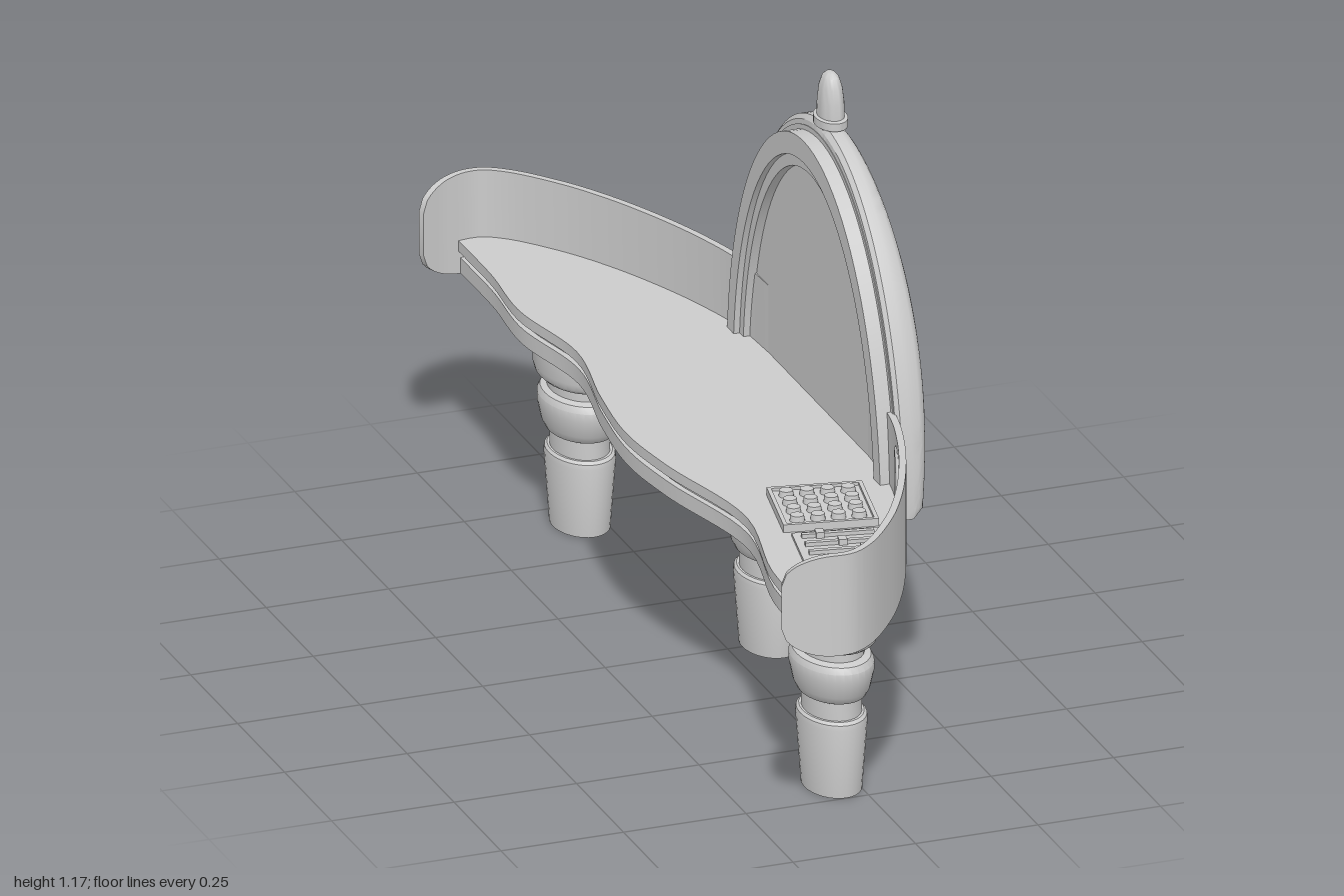
import * as THREE from 'three';
import { toCreasedNormals } from 'three/addons/utils/BufferGeometryUtils.js';

const mat = new THREE.MeshStandardMaterial({ color: 0xcccccc, side: THREE.DoubleSide });

function add(parent, name, geo, x = 0, y = 0, z = 0) {
  const m = new THREE.Mesh(geo, mat);
  m.name = name;
  m.position.set(x, y, z);
  parent.add(m);
  return m;
}

// Surface through rows of [x, y, z] points
function loft(rows, closed = false, crease = 0.6) {
  const pos = [], n = rows[0].length;
  for (let i = 0; i < rows.length - 1; i++) {
    for (let j = 0; j < (closed ? n : n - 1); j++) {
      const k = (j + 1) % n;
      const a = rows[i][j], b = rows[i + 1][j], c = rows[i + 1][k], d = rows[i][k];
      pos.push(...a, ...b, ...c, ...a, ...c, ...d);
    }
  }
  const g = new THREE.BufferGeometry();
  g.setAttribute('position', new THREE.Float32BufferAttribute(pos, 3));
  return toCreasedNormals(g, crease);
}

const spline2 = (pts, n) =>
  new THREE.CatmullRomCurve3(pts.map(([x, z]) => new THREE.Vector3(x, 0, z)), false, 'centripetal').getPoints(n);

// Plan of the curved wall, from the hooked tip to the middle
const wallPts = spline2([[-0.26, 0.965], [-0.2, 0.985], [-0.13, 0.993], [-0.08, 0.965], [0, 0.87],
  [0.06, 0.77], [0.115, 0.65], [0.158, 0.53], [0.188, 0.41], [0.2, 0.25]], 64);

function wallGeometry(side) {
  const rows = wallPts.map((p, i) => {
    const a = wallPts[Math.max(i - 1, 0)], b = wallPts[Math.min(i + 1, wallPts.length - 1)];
    const t = b.clone().sub(a).normalize().multiplyScalar(0.014);
    const e = Math.max(0, 1 - (p.x + 0.26) / 0.1);
    const h = 0.104 - 0.06 * (1 - Math.sqrt(1 - e * e));
    const xi = p.x + t.z, zi = p.z - t.x, lo = 0.515 - h, hi = 0.515 + h;
    return [[p.x, lo, p.z * side], [p.x, hi, p.z * side], [xi, hi, zi * side], [xi, lo, zi * side]];
  });
  // close both ends
  const centre = (r) => r.map(() => [0, 1, 2].map((k) => (r[0][k] + r[2][k]) / 2));
  rows.unshift(centre(rows[0]));
  rows.push(centre(rows[rows.length - 1]));
  if (side > 0) rows.reverse();
  return loft(rows, true);
}

// Desk slab with a wavy front edge
function slabGeometry(inset, depth) {
  const front = spline2([[-0.175, -0.98], [-0.175, -0.8], [-0.187, -0.62], [-0.155, -0.4], [-0.19, -0.18],
    [-0.207, 0], [-0.19, 0.17], [-0.137, 0.45], [-0.185, 0.73], [-0.178, 0.98]], 60);
  const back = wallPts.filter((p, i) => i > 16 && p.x > -0.13).map((p) => [p.x - 0.008, p.z - 0.006]);
  const outline = [
    ...front.map((p) => [p.x + inset, p.z]),
    ...back,
    ...back.map(([x, z]) => [x, -z]).reverse(),
  ];
  const shape = new THREE.Shape(outline.map(([x, z]) => new THREE.Vector2(x, z)));
  const g = new THREE.ExtrudeGeometry(shape, { depth, bevelEnabled: false }).rotateX(Math.PI / 2);
  return toCreasedNormals(g, 0.6);
}

// Half-ellipse outline in the z-y plane
const domePoints = (rz, ry) => Array.from({ length: 49 }, (_, i) => {
  const t = Math.PI * i / 48;
  return new THREE.Vector2(rz * Math.cos(t), ry * Math.sin(t));
});

// Bulge of the dome's outer face
function shellX(z, y) {
  const k = Math.hypot(z / 0.43, y / 0.65);
  const g = Math.min(1, Math.max(0, (1 - k) / 0.1));
  return 0.215 + 0.03 * Math.sqrt(g * (2 - g)) + 0.015 * Math.sin(Math.PI * Math.min(1, y / 0.65));
}

// Distance from the dome's base centre to the arched cut-out edge
function cutRadius(c, s) {
  const line = 0.3225 / (s + 0.75 * Math.abs(c));
  const A = (c / 0.108) ** 2 + (s / 0.14) ** 2, B = -2 * s * 0.26 / 0.14 ** 2, C = (0.26 / 0.14) ** 2 - 1;
  const D = B * B - 4 * A * C;
  return D > 0 ? Math.max(line, (-B + Math.sqrt(D)) / (2 * A)) : line;
}

function buildDome(root) {
  const dome = new THREE.Group();
  dome.name = 'screenDome';
  dome.position.y = 0.41;
  root.add(dome);
  const shell = [], plate = [], N = 96;
  for (let i = 0; i <= N; i++) {
    const t = Math.PI * i / N, c = Math.cos(t), s = Math.sin(t);
    const oz = 0.43 * c, oy = 0.65 * s, r = cutRadius(c, s);
    // matching cut edge point along the same ray angle
    const iz = r * c, iy = r * s;
    const row = [[0.185, oy * 0.95, oz * 0.95], [0.187, oy * 0.985, oz * 0.985], [0.195, oy, oz], [0.215, oy, oz]];
    for (let j = 1; j <= 16; j++) {
      const w = (j / 16) ** 1.6, z = oz + (iz - oz) * w, y = oy + (iy - oy) * w;
      row.push([shellX(z, y), y, z]);
    }
    row.push([shellX(iz, iy) - 0.015, iy, iz]);
    shell.push(row);
    const pz = Math.max(-0.25, Math.min(0.25, iz));
    plate.push([1, 0.75, 0.5, 0.25, 0].map((f) => [shellX(pz * f, iy * f) - 0.008, iy * f, pz * f]));
  }
  add(dome, 'domeShell', loft(shell));
  add(dome, 'archedBackPanel', loft(plate));

  // front frame and recessed screen, facing the desk
  const toSide = (g) => toCreasedNormals(g.rotateY(-Math.PI / 2), 0.6);
  const ring = (name, ro, ri, x, depth) => {
    const shape = new THREE.Shape([...domePoints(...ro), ...domePoints(...ri).reverse()]);
    add(dome, name, toSide(new THREE.ExtrudeGeometry(shape, { depth, bevelEnabled: false, curveSegments: 1 })), x);
  };
  ring('outerFrame', [0.41, 0.62], [0.375, 0.575], 0.2, 0.045);
  ring('innerFrame', [0.38, 0.58], [0.355, 0.55], 0.2, 0.033);
  const screen = new THREE.Shape(domePoints(0.42, 0.63));
  add(dome, 'screen', toSide(new THREE.ExtrudeGeometry(screen, { depth: 0.012, bevelEnabled: false })), 0.197);

  // bullet-shaped finial
  const profile = [[0.03, -0.02], [0.034, 0], [0.046, 0.002], [0.046, 0.018], [0.037, 0.02], [0.036, 0.05],
    [0.031, 0.08], [0.022, 0.1], [0.011, 0.108], [0, 0.109]].map(([r, y]) => new THREE.Vector2(r, y));
  const finial = add(dome, 'finial', toCreasedNormals(new THREE.LatheGeometry(profile, 28), 0.6), 0.21, 0.648, 0);
  finial.scale.x = 0.68;
}

function buildLegs(root) {
  const profile = [[0, 0], [0.079, 0], [0.093, 0.145], [0.091, 0.155], [0.084, 0.16], [0.078, 0.16], [0.078, 0.195],
    [0.09, 0.2], [0.1, 0.215], [0.11, 0.25], [0.11, 0.268], [0.102, 0.28], [0.085, 0.284], [0.085, 0.306],
    [0.105, 0.308], [0.116, 0.316], [0.121, 0.33], [0.122, 0.395], [0.116, 0.412], [0, 0.415]]
    .map(([r, y]) => new THREE.Vector2(r, y));
  const geo = toCreasedNormals(new THREE.LatheGeometry(profile, 32), 0.6);
  for (const [x, z] of [[-0.045, -0.67], [0.085, 0], [-0.045, 0.67]]) add(root, 'leg', geo, x, 0, z).scale.x = 0.7;
}

function buildControls(root) {
  // button pad and slider panel on the desk
  const pad = new THREE.Group();
  pad.name = 'controlPad';
  pad.position.set(0.01, 0.48, 0.48);
  pad.rotation.y = -0.19;
  root.add(pad);
  add(pad, 'padBase', new THREE.BoxGeometry(0.185, 0.012, 0.185), 0, 0.004, 0);
  for (const s of [-1, 1]) {
    add(pad, 'padRim', new THREE.BoxGeometry(0.008, 0.02, 0.185), s * 0.0885, 0.006, 0);
    add(pad, 'padRim', new THREE.BoxGeometry(0.185, 0.02, 0.008), 0, 0.006, s * 0.0885);
  }
  const button = new THREE.CylinderGeometry(0.013, 0.015, 0.014, 16);
  for (let i = 0; i < 4; i++) {
    for (let j = 0; j < 4; j++) add(pad, 'button', button, -0.06 + i * 0.04, 0.015, -0.06 + j * 0.04);
  }
  add(pad, 'sliderBase', new THREE.BoxGeometry(0.17, 0.008, 0.17), 0.005, 0.002, 0.195);
  for (let i = 0; i < 4; i++) {
    const z = 0.135 + i * 0.04;
    add(pad, 'slider', new THREE.BoxGeometry(0.14, 0.01, 0.01), 0.005, 0.009, z);
    add(pad, 'sliderKnob', new THREE.BoxGeometry(0.016, 0.014, 0.02), -0.03 + (i * 37 % 80) / 1000, 0.011, z);
  }

  // small display and dials on the inner side of the wall
  const panel = new THREE.Group();
  panel.name = 'wallPanel';
  panel.position.set(0.144, 0.555, 0.53);
  panel.rotation.y = -Math.PI / 2 - 0.34;
  root.add(panel);
  const w = 0.055, h = 0.035;
  const loop = new THREE.CatmullRomCurve3([[-w, -h * 0.7], [-w, h * 0.7], [-w * 0.8, h], [w * 0.8, h], [w, h * 0.7],
    [w, -h * 0.7], [w * 0.8, -h], [-w * 0.8, -h]].map(([x, y]) => new THREE.Vector3(x, y, 0)), true);
  add(panel, 'displayFrame', new THREE.TubeGeometry(loop, 48, 0.006, 6, true));
  for (const [x, y] of [[0.1, 0.012], [0.15, 0.02]]) {
    add(panel, 'dial', new THREE.TorusGeometry(0.014, 0.004, 6, 20), x, y, -0.002);
  }
}

export function createModel() {
  const root = new THREE.Group();
  root.name = 'consoleDesk';
  // layered desk top
  add(root, 'deskTop', slabGeometry(0, 0.022), 0, 0.48, 0);
  add(root, 'deskGroove', slabGeometry(0.016, 0.014), 0, 0.458, 0);
  add(root, 'deskBase', slabGeometry(0.004, 0.032), 0, 0.444, 0);
  for (const side of [-1, 1]) add(root, 'curvedWall', wallGeometry(side));
  buildDome(root);
  buildLegs(root);
  buildControls(root);
  return root;
}
